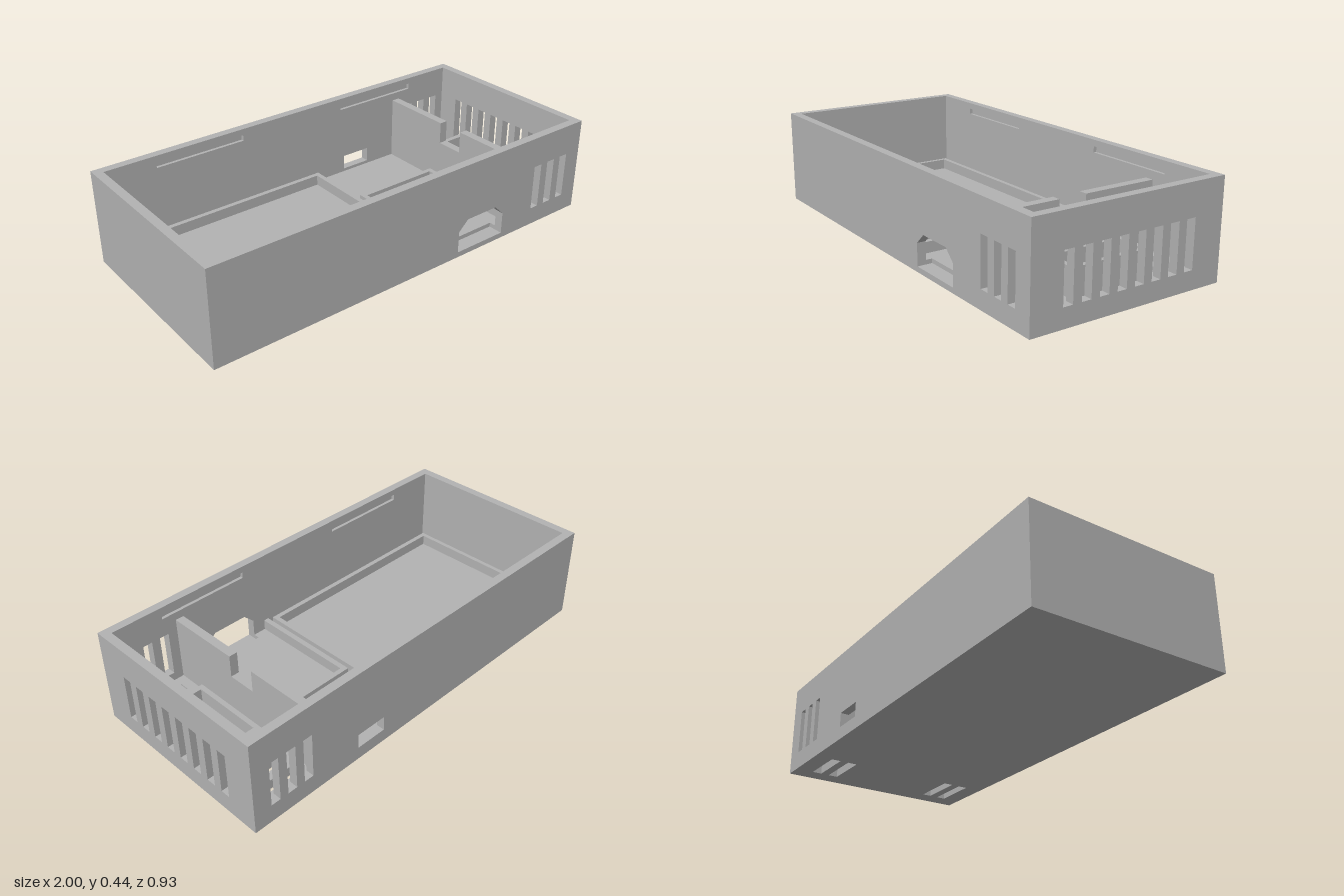
import * as THREE from 'three';

const grey = new THREE.MeshStandardMaterial({ color: 0xb2b2b2 });
grey.name = 'grey plastic';

const rect = (u0, u1, v0, v1) => [[u0, v0], [u1, v0], [u1, v1], [u0, v1]];
const points = (list) => list.map(([u, v]) => new THREE.Vector2(u, v));

// Flat plate with holes, extruded along +z
function plate(outline, holes, depth) {
  const shape = new THREE.Shape(points(outline));
  for (const h of holes) shape.holes.push(new THREE.Path(points(h)));
  return new THREE.ExtrudeGeometry(shape, { depth, bevelEnabled: false });
}

export function createModel() {
  const model = new THREE.Group();
  model.name = 'enclosure';
  const add = (name, geometry) => {
    const mesh = new THREE.Mesh(geometry, grey);
    mesh.name = name;
    model.add(mesh);
  };
  // Plates lying flat (shape v = -z) or standing across x (shape u = -z)
  const flat = (name, outline, holes, y, height) =>
    add(name, plate(outline, holes, height).rotateX(-Math.PI / 2).translate(0, y, 0));
  const across = (name, outline, holes, x, width) =>
    add(name, plate(outline, holes, width).rotateY(Math.PI / 2).translate(x, 0, 0));

  const H = 0.445, X = 0.96, Z = 0.425, floorTop = 0.045;

  // Long walls: outer skin plus an inner skin with lid catch grooves
  const vents = [0.7, 0.785, 0.87].map((x) => rect(x, x + 0.045, 0.085, 0.3));
  const grooves = [rect(-0.72, -0.28, 0.387, 0.415), rect(0.28, 0.72, 0.387, 0.415)];
  const port = [[0.24, 0.025], [0.51, 0.025], [0.51, 0.127], [0.46, 0.175], [0.29, 0.175], [0.24, 0.127]];
  const cableHole = rect(0.3, 0.45, 0.06, 0.13);
  const side = rect(-1, 1, 0, H);
  add('frontWallOuter', plate(side, [...vents, port], 0.025).translate(0, 0, 0.44));
  add('frontWallInner', plate(side, [...vents, port, ...grooves], 0.015).translate(0, 0, Z));
  add('backWallOuter', plate(side, [...vents, cableHole], 0.025).translate(0, 0, -0.465));
  add('backWallInner', plate(side, [...vents, cableHole, ...grooves], 0.015).translate(0, 0, -0.44));

  // End walls, one with a row of eight vents
  const endVents = [];
  for (let i = 0; i < 8; i++) {
    const z = (i - 3.5) * 0.0847;
    endVents.push(rect(z - 0.0225, z + 0.0225, 0.085, 0.3));
  }
  const end = rect(-Z, Z, 0, H);
  across('ventedEndWall', end, endVents, X, 0.04);
  across('plainEndWall', end, [], -1, 0.04);

  // Floor: the upper layer is cut away behind the front port
  const floorSlots = [-0.38, -0.295, 0.25, 0.335].map((z) => rect(0.7, 0.915, z, z + 0.045));
  const base = rect(-X, X, -Z, Z);
  flat('floorBottom', base, floorSlots, 0, 0.025);
  const notched = [[-X, -Z], [0.24, -Z], [0.24, -0.395], [0.51, -0.395], [0.51, -Z], [X, -Z], [X, Z], [-X, Z]];
  flat('floorTop', notched, floorSlots, 0.025, floorTop - 0.025);

  // Low rims on the floor
  flat('largeTrayRim', rect(-0.953, 0.13, -0.415, 0.415), [rect(-0.932, 0.107, -0.392, 0.392)], floorTop, 0.05);
  flat('smallTrayRim', [[0.15, -Z], [0.175, -Z], [0.175, 0.085], [0.572, 0.085], [0.572, -Z],
    [0.596, -Z], [0.596, 0.108], [0.15, 0.108]], [], floorTop, 0.05);
  flat('socketRim', rect(0.72, 0.892, -0.19, 0.19), [rect(0.743, 0.87, -0.167, 0.167)], floorTop, 0.125);

  // Partition with a cable notch in its top edge
  across('partition', [[-Z, floorTop], [Z, floorTop], [Z, 0.35], [0.067, 0.35], [0.067, 0.245],
    [-0.067, 0.245], [-0.067, 0.35], [-Z, 0.35]], [], 0.615, 0.04);

  return model;
}
